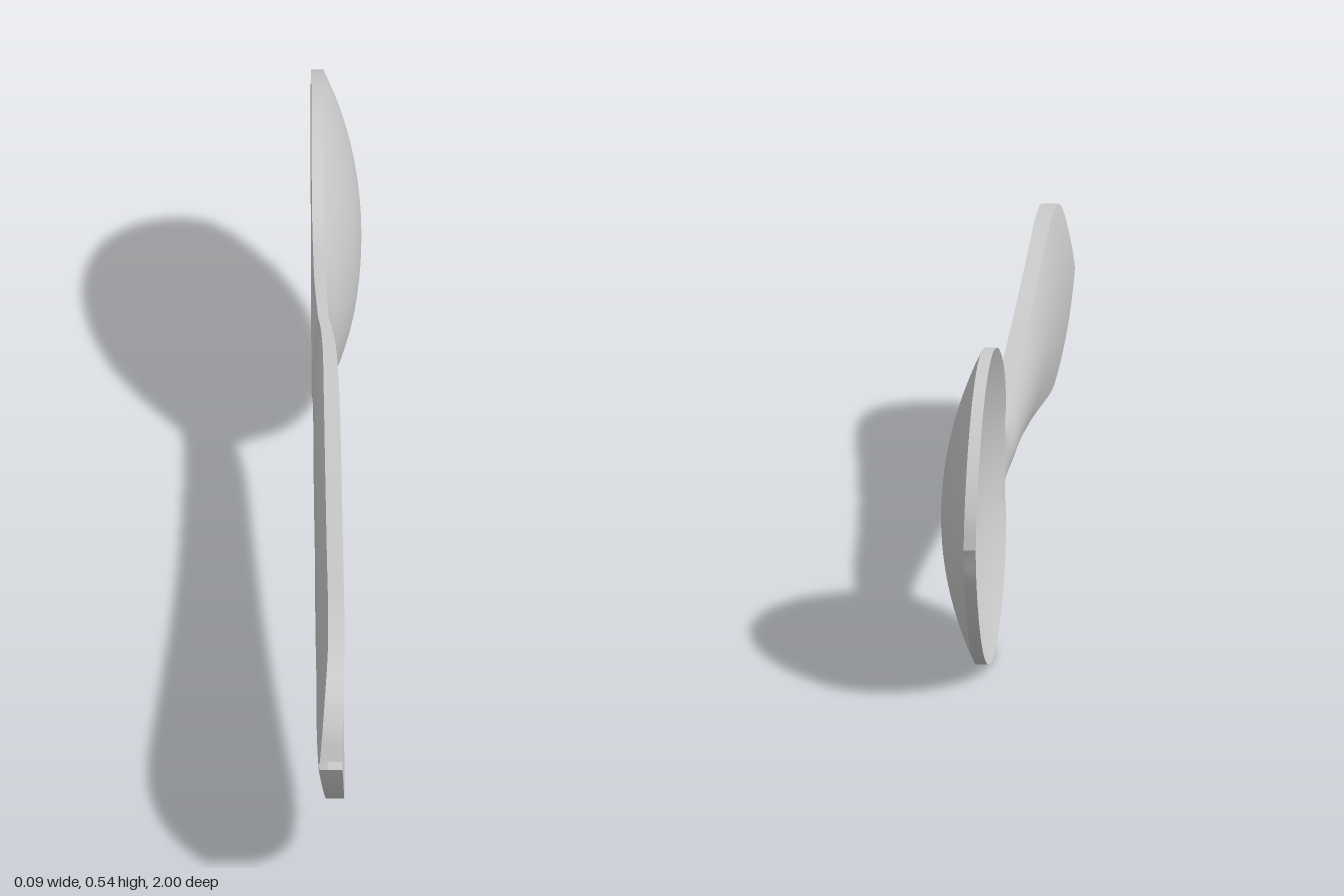
import * as THREE from 'three';
import { mergeGeometries } from 'three/addons/utils/BufferGeometryUtils.js';

const MID_Y = 0.272;

// Smooth sheet over a (u, v) grid; point(u, v) gives each position
function sheet(nu, nv, point) {
  const pos = [], index = [];
  for (let i = 0; i <= nu; i++) {
    for (let j = 0; j <= nv; j++) pos.push(...point(i / nu, j / nv));
  }
  for (let i = 0; i < nu; i++) {
    for (let j = 0; j < nv; j++) {
      const a = i * (nv + 1) + j, b = a + nv + 1;
      index.push(a, b, b + 1, a, b + 1, a + 1);
    }
  }
  const g = new THREE.BufferGeometry();
  g.setAttribute('position', new THREE.Float32BufferAttribute(pos, 3));
  g.setIndex(index);
  g.computeVertexNormals();
  return g;
}

// Each station: [z, half width, inner edge x, inner centre x, outer edge x, outer centre x]
function loft(name, stations, material) {
  const curve = (f) => new THREE.CatmullRomCurve3(
    stations.map((s) => new THREE.Vector3(...f(s))), false, 'catmullrom', 0.5);
  const outline = curve((s) => [s[0], s[1], s[2]]);
  const section = curve((s) => [s[3], s[4], s[5]]);

  // t runs across the width from -1 to 1
  const surface = (u, t, outer) => {
    const o = outline.getPoint(u), c = section.getPoint(u);
    const edge = outer ? c.y : o.z, centre = outer ? c.z : c.x;
    return [edge + (centre - edge) * (1 - t * t), MID_Y + o.y * t, o.x];
  };
  const wall = (side) => (u, v) => {
    const a = surface(u, side, side > 0), b = surface(u, side, side < 0);
    return a.map((p, k) => p + (b[k] - p) * v);
  };
  const n = stations.length * 6;
  const geometry = mergeGeometries([
    sheet(n, 24, (u, v) => surface(u, 2 * v - 1, true)),
    sheet(n, 1, wall(1)),
    sheet(n, 24, (u, v) => surface(u, 1 - 2 * v, false)),
    sheet(n, 1, wall(-1)),
  ]);
  const mesh = new THREE.Mesh(geometry, material);
  mesh.name = name;
  return mesh;
}

export function createModel() {
  const group = new THREE.Group();
  group.name = 'spoon';
  const material = new THREE.MeshStandardMaterial({ color: 0xcccccc, side: THREE.DoubleSide });

  // Handle: flat underside, crowned face, flaring to a pointed end
  group.add(loft('handle', [
    [1.0, 0.008, -0.035, -0.037, 0.004, 0.004],
    [0.975, 0.06, -0.030, -0.038, 0.006, 0.004],
    [0.93, 0.112, -0.025, -0.039, 0.007, 0.004],
    [0.87, 0.145, -0.021, -0.040, 0.008, 0.004],
    [0.79, 0.155, -0.020, -0.040, 0.008, 0.004],
    [0.7, 0.150, -0.020, -0.040, 0.008, 0.004],
    [0.55, 0.129, -0.021, -0.041, 0.007, 0.004],
    [0.35, 0.102, -0.022, -0.041, 0.006, 0.004],
    [0.15, 0.080, -0.023, -0.042, 0.005, 0.003],
    [-0.05, 0.065, -0.024, -0.042, 0.003, 0.001],
    [-0.2, 0.058, -0.025, -0.043, -0.001, -0.002],
    [-0.28, 0.054, -0.028, -0.040, -0.008, -0.008],
    [-0.325, 0.052, -0.033, -0.036, -0.015, -0.015],
  ], material));

  // Bowl: thin oval shell, hollow on the -x side
  group.add(loft('bowl', [
    [-0.325, 0.052, -0.033, -0.036, -0.015, -0.015],
    [-0.365, 0.102, -0.039, -0.028, -0.018, -0.006],
    [-0.415, 0.163, -0.042, -0.012, -0.021, 0.011],
    [-0.475, 0.212, -0.043, 0.003, -0.022, 0.025],
    [-0.555, 0.252, -0.043, 0.016, -0.022, 0.038],
    [-0.65, 0.271, -0.043, 0.021, -0.022, 0.043],
    [-0.74, 0.263, -0.043, 0.018, -0.022, 0.040],
    [-0.825, 0.231, -0.043, 0.007, -0.022, 0.029],
    [-0.895, 0.181, -0.043, -0.009, -0.022, 0.012],
    [-0.95, 0.119, -0.043, -0.025, -0.022, -0.004],
    [-0.985, 0.058, -0.043, -0.037, -0.022, -0.016],
    [-1.0, 0.006, -0.043, -0.043, -0.022, -0.022],
  ], material));

  return group;
}
